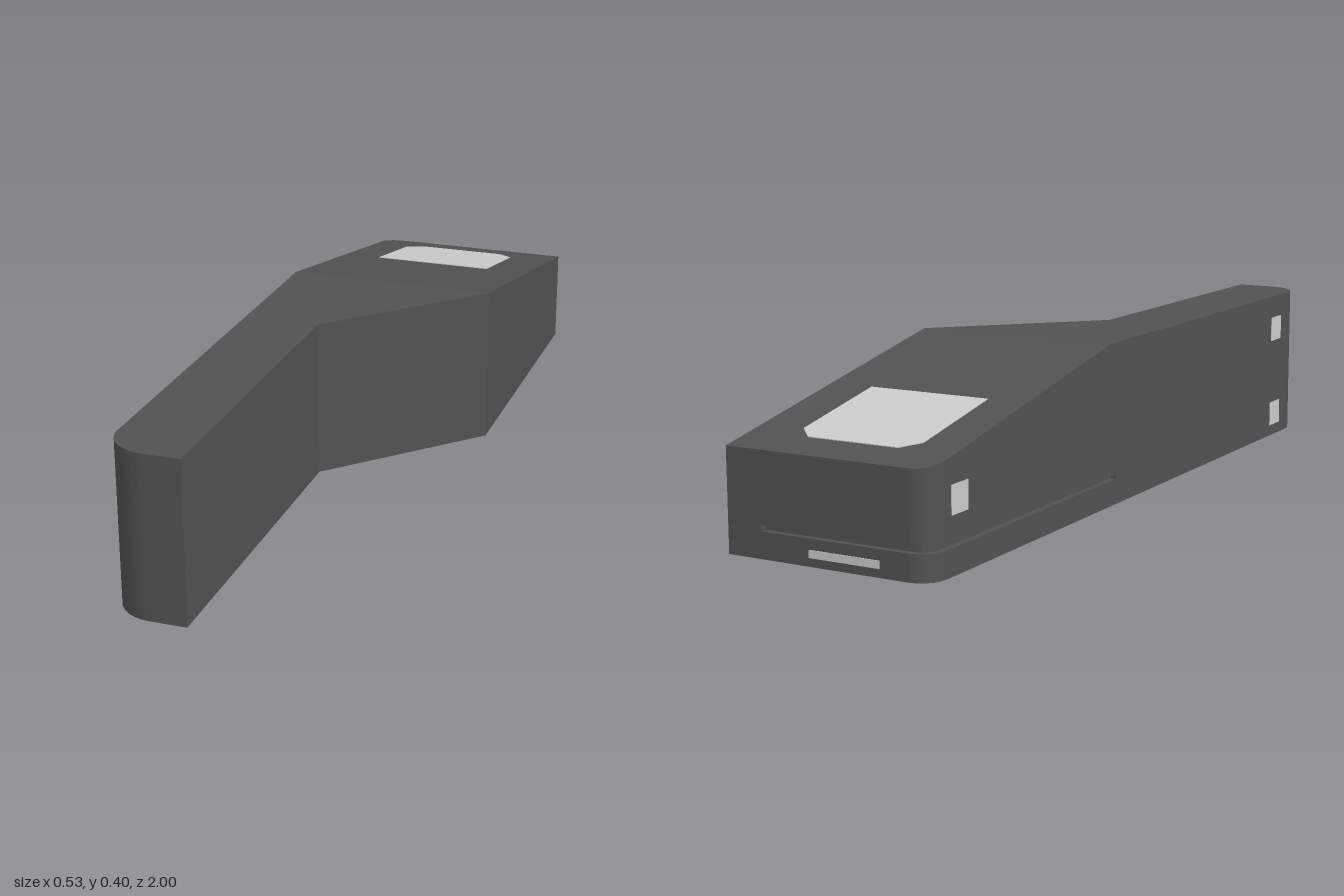
import * as THREE from 'three';
import { toCreasedNormals } from 'three/addons/utils/BufferGeometryUtils.js';

const dark = new THREE.MeshStandardMaterial({ color: 0x525252 });
const grey = new THREE.MeshStandardMaterial({ color: 0xcccccc });

const W = 0.265;            // half width
const H = 0.4;              // full height
const GROOVE = [0.063, 0.077]; // bottom and top of the groove
const DEPTH = 0.015;        // groove depth

// Height of the top surface: level, then sloping down to the back
const roof = (z) => H - Math.max(0, -0.2 - z) * (0.155 / 0.8);

// Plan shapes are drawn with shape y = -z, then extruded upwards
function extrudeUp(shape, y0, y1) {
  const g = new THREE.ExtrudeGeometry(shape, { depth: y1 - y0, bevelEnabled: false, curveSegments: 10 });
  g.rotateX(-Math.PI / 2);
  g.translate(0, y0, 0);
  return g;
}

// Narrow front arm with its rounded corner, from the left of the outline round to the step
function traceArm(s) {
  s.lineTo(-W, -0.9);
  s.absarc(-0.165, -0.9, 0.1, Math.PI, Math.PI * 1.5, false);
  s.lineTo(-0.075, -1);
  s.lineTo(-0.075, -0.155);
  s.lineTo(W, 0.2);
}

// Rounded back corner
function traceBackCorner(s, inset = 0) {
  s.absarc(-0.205, 0.94, 0.06 - inset, Math.PI / 2, Math.PI, false);
}

function start(x, y) {
  const s = new THREE.Shape();
  s.moveTo(x, y);
  return s;
}

function fullOutline() {
  const s = start(W, 0.2);
  s.lineTo(W, 1);
  traceBackCorner(s);
  traceArm(s);
  return s;
}

// Same outline, cut back along the groove
function groovedOutline() {
  const s = start(W, 0.2);
  s.lineTo(W, 1);
  s.lineTo(0.174, 1);
  s.lineTo(0.174, 1 - DEPTH);
  traceBackCorner(s, DEPTH);
  s.lineTo(-W + DEPTH, 0.17);
  s.lineTo(-W, 0.17);
  traceArm(s);
  return s;
}

function frontOutline() {
  const s = start(W, 0.2);
  s.lineTo(-W, 0.2);
  traceArm(s);
  return s;
}

function backOutline() {
  const s = start(W, 0.2);
  s.lineTo(W, 1);
  traceBackCorner(s);
  s.lineTo(-W, 0.2);
  s.lineTo(W, 0.2);
  return s;
}

// Moves every vertex down by as much as the top surface drops there
function followRoof(g, fromY) {
  const p = g.attributes.position;
  for (let i = 0; i < p.count; i++) {
    if (p.getY(i) > fromY) p.setY(i, p.getY(i) - H + roof(p.getZ(i)));
  }
  return g;
}

export function createModel() {
  const model = new THREE.Group();
  const add = (name, geometry, material) => {
    const mesh = new THREE.Mesh(geometry, material);
    mesh.name = name;
    model.add(mesh);
    return mesh;
  };
  const addBody = (name, g) => add(name, toCreasedNormals(g, 0.6), dark);

  // Body in layers: base, groove, arm and sloping rear
  addBody('base', extrudeUp(fullOutline(), 0, GROOVE[0]));
  addBody('grooveLayer', extrudeUp(groovedOutline(), GROOVE[0], GROOVE[1]));
  addBody('arm', extrudeUp(frontOutline(), GROOVE[1], H));
  addBody('slopingRear', followRoof(extrudeUp(backOutline(), GROOVE[1], H), 0.3));

  // Light panel with clipped corners on the slope
  const panel = start(-0.165, 0.605);
  for (const [x, y] of [[0.15, 0.605], [0.15, 0.87], [0.11, 0.91], [-0.125, 0.91], [-0.165, 0.87]]) {
    panel.lineTo(x, y);
  }
  add('topPanel', toCreasedNormals(followRoof(extrudeUp(panel, H - 0.002, H + 0.002), 0.3), 0.5), grey);

  // Square pads on the long flat side: [y, z]
  for (const [y, z] of [[0.167, -0.888], [0.307, 0.817], [0.063, 0.817]]) {
    add('sidePad', new THREE.BoxGeometry(0.004, 0.066, 0.066), grey).position.set(-W, y, z);
  }

  // Narrow strip below the groove at the back
  add('backStrip', new THREE.BoxGeometry(0.183, 0.018, 0.004), grey).position.set(-0.044, 0.029, -1);

  return model;
}
